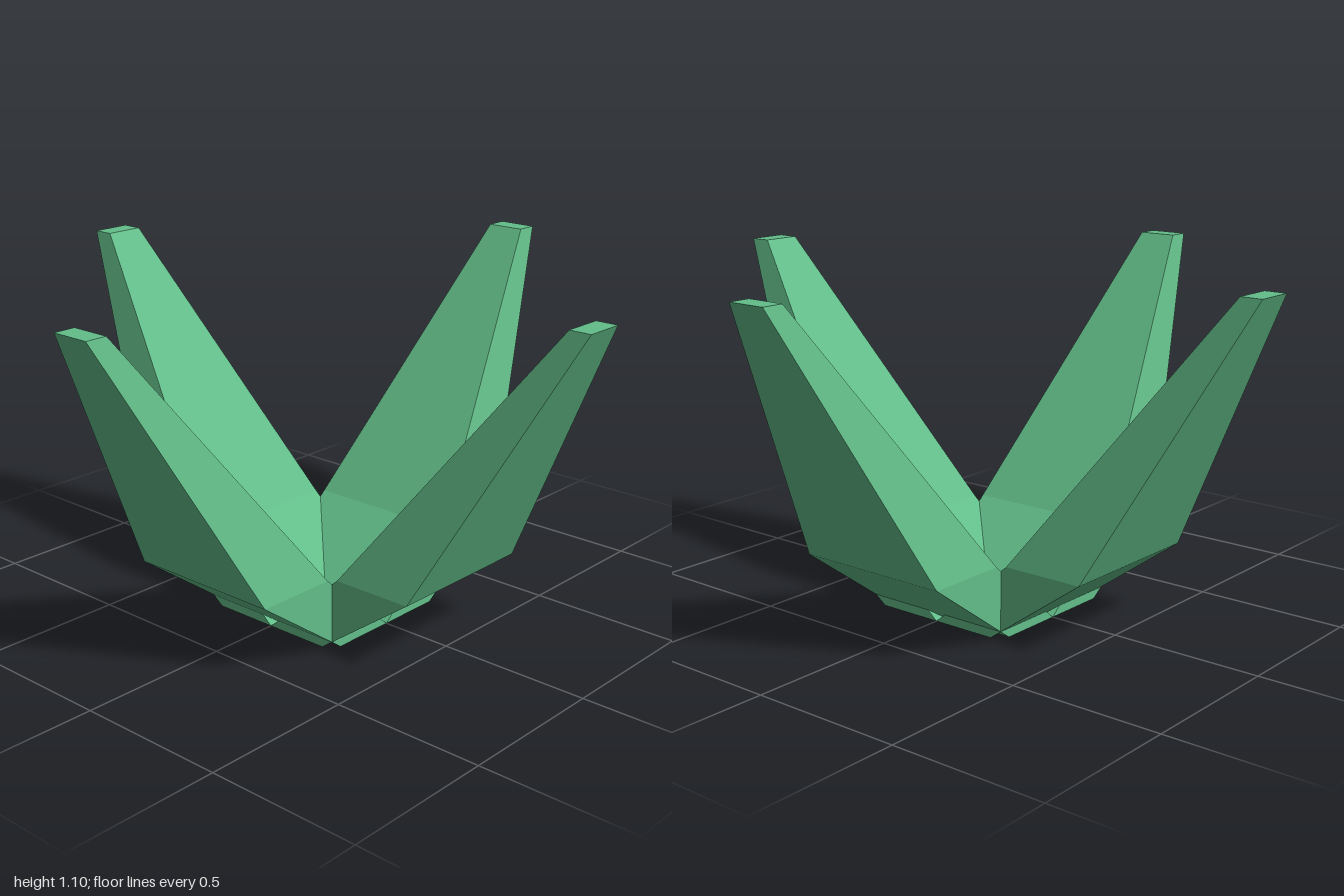
import * as THREE from 'three';

// Leaf cross-sections from base to tip: height, inner z, outer z, half width
const SECTIONS = [
  [0, 0, 0.22, 0.26],
  [0.24, 0.28, 0.55, 0.26],
  [1.1, 0.93, 1.0, 0.065],
];

function leafGeometry() {
  const positions = [];
  const index = [];
  for (const [y, zi, zo, w] of SECTIONS) {
    positions.push(-w, y, zi, w, y, zi, w, y, zo, -w, y, zo);
  }
  const quad = (a, b, c, d) => index.push(a, b, c, a, c, d);
  // Walls between neighbouring sections
  for (let s = 0; s < SECTIONS.length - 1; s++) {
    for (let i = 0; i < 4; i++) {
      const a = s * 4 + i;
      const b = s * 4 + (i + 1) % 4;
      quad(b, a, a + 4, b + 4);
    }
  }
  // Flat base and blunt tip
  const t = (SECTIONS.length - 1) * 4;
  quad(0, 1, 2, 3);
  quad(t, t + 3, t + 2, t + 1);

  const indexed = new THREE.BufferGeometry();
  indexed.setAttribute('position', new THREE.Float32BufferAttribute(positions, 3));
  indexed.setIndex(index);
  const geometry = indexed.toNonIndexed();
  geometry.computeVertexNormals();
  return geometry;
}

export function createModel() {
  const group = new THREE.Group();
  group.name = 'plant';

  const leafGreen = new THREE.MeshStandardMaterial({ color: 0x62bd89 });
  leafGreen.name = 'leaf green';
  leafGreen.flatShading = true;

  // Four identical leaves spreading from the centre
  const geometry = leafGeometry();
  ['frontLeaf', 'leftLeaf', 'backLeaf', 'rightLeaf'].forEach((name, i) => {
    const leaf = new THREE.Mesh(geometry, leafGreen);
    leaf.name = name;
    leaf.rotation.y = i * Math.PI / 2;
    group.add(leaf);
  });

  return group;
}
